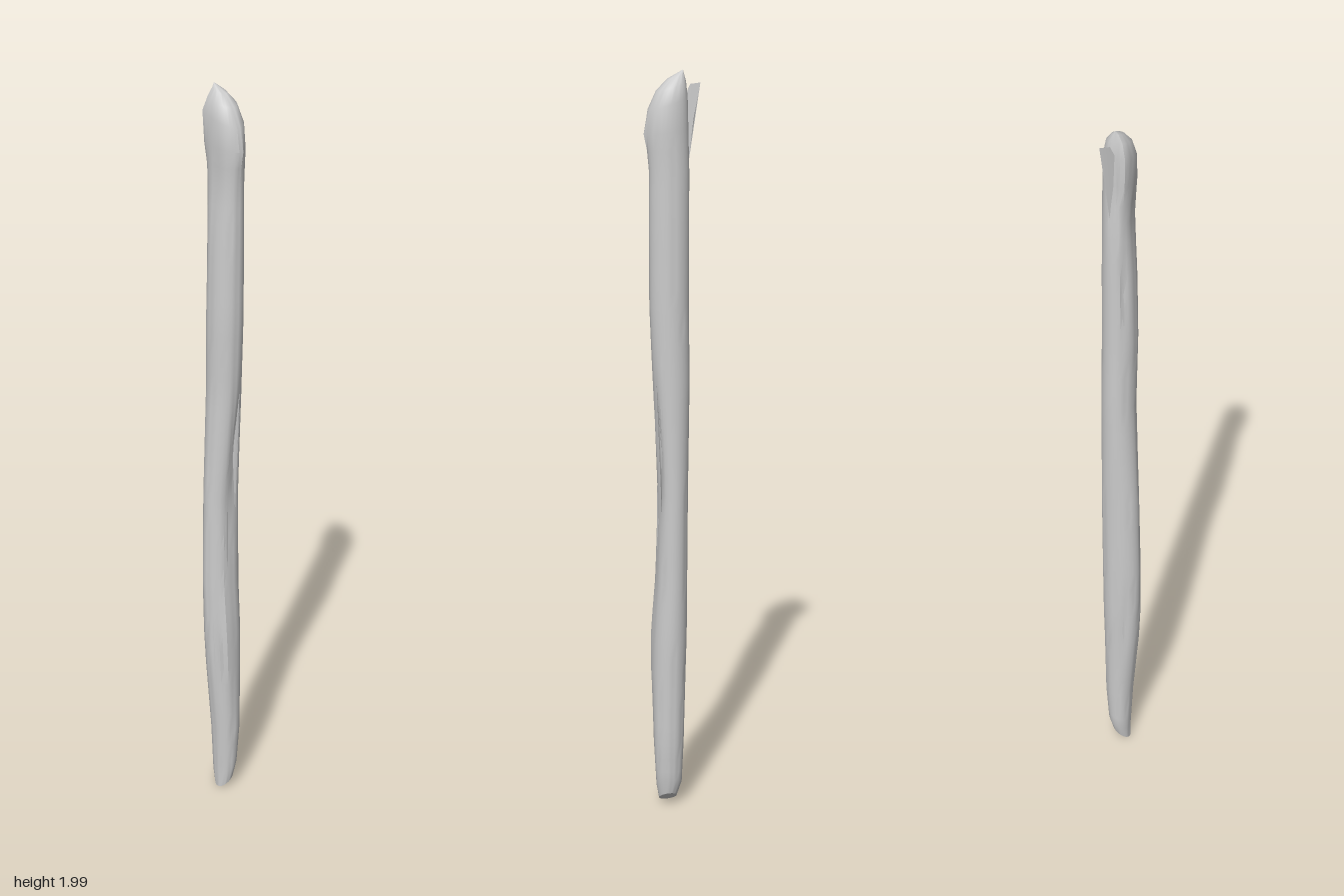
import * as THREE from 'three';
import { toCreasedNormals } from 'three/addons/utils/BufferGeometryUtils.js';

const material = new THREE.MeshStandardMaterial({ color: 0xcccccc, side: THREE.DoubleSide });

// Cross-section limits up the stick: height, left x, right x, back z, front z
const PROFILE = [
  [0.03, -0.018, 0.03, -0.028, 0.024],
  [0.07, -0.031, 0.038, -0.037, 0.024],
  [0.2, -0.036, 0.045, -0.045, 0.031],
  [0.4, -0.042, 0.048, -0.048, 0.048],
  [0.5, -0.045, 0.046, -0.05, 0.053],
  [0.65, -0.046, 0.037, -0.05, 0.055],
  [0.9, -0.047, 0.033, -0.051, 0.05],
  [1.2, -0.05, 0.046, -0.051, 0.038],
  [1.4, -0.048, 0.054, -0.05, 0.04],
  [1.6, -0.048, 0.055, -0.049, 0.036],
  [1.75, -0.048, 0.055, -0.047, 0.031],
  [1.85, -0.046, 0.061, -0.047, 0.035],
  [1.92, -0.044, 0.056, -0.045, 0.034],
  [1.96, -0.04, 0.036, -0.035, 0.025],
  [1.98, -0.035, 0.008, -0.018, 0.01],
];
const SIDES = 28;

// Furrows and ridges: angle (0 = +x, 90 = front), height, width, length, depth
const RELIEF = [
  [-18, 1.0, 18, 0.16, -0.3],
  [8, 0.85, 9, 0.2, -0.15],
  [55, 0.42, 10, 0.13, -0.18],
  [25, 0.5, 14, 0.18, 0.12],
  [140, 1.55, 9, 0.12, -0.12],
  [150, 0.48, 9, 0.12, -0.12],
  [138, 1.9, 13, 0.06, 0.34],
  [5, 1.86, 13, 0.05, 0.16],
  [85, 1.78, 25, 0.13, -0.15],
  [172, 1.85, 11, 0.1, -0.2],
];

function limitsAt(y) {
  let i = 0;
  while (i < PROFILE.length - 2 && y > PROFILE[i + 1][0]) i++;
  const [a, b] = [PROFILE[i], PROFILE[i + 1]];
  const t = THREE.MathUtils.clamp((y - a[0]) / (b[0] - a[0]), 0, 1);
  return a.map((v, k) => THREE.MathUtils.lerp(v, b[k], t));
}

function surfacePoint(y, degrees) {
  const [, xl, xr, zb, zf] = limitsAt(y);
  let r = 1;
  for (const [angle, height, width, length, depth] of RELIEF) {
    const da = ((degrees - angle + 540) % 360) - 180;
    r += depth * Math.exp(-((da / width) ** 2) - ((y - height) / length) ** 2);
  }
  const a = THREE.MathUtils.degToRad(degrees);
  const x = (xl + xr) / 2 + r * Math.cos(a) * (xr - xl) / 2;
  const z = (zb + zf) / 2 + r * Math.sin(a) * (zf - zb) / 2;
  // Slanted break at the foot and a slope down to the left at the top
  const foot = 1 - THREE.MathUtils.smoothstep(y, 0.03, 0.2);
  const head = THREE.MathUtils.smoothstep(y, 1.8, 1.92);
  return new THREE.Vector3(x, y - foot * 0.75 * z - head * 0.3 * x, z);
}

function buildStick() {
  const heights = PROFILE.map((p) => p[0]);
  for (let y = 0.1; y < 1.9; y += 0.05) heights.push(y);
  heights.sort((a, b) => a - b);
  const pos = [], index = [];
  for (const y of heights) {
    for (let s = 0; s < SIDES; s++) pos.push(...surfacePoint(y, (s * 360) / SIDES).toArray());
  }
  for (let r = 0; r < heights.length - 1; r++) {
    for (let s = 0; s < SIDES; s++) {
      const a = r * SIDES + s, b = r * SIDES + ((s + 1) % SIDES);
      index.push(a, a + SIDES, b, b, a + SIDES, b + SIDES);
    }
  }
  // Pointed closures at foot and head
  const foot = pos.length / 3, head = foot + 1, last = (heights.length - 1) * SIDES;
  pos.push(0.012, 0.02, 0.008, -0.033, 2, -0.002);
  for (let s = 0; s < SIDES; s++) {
    const n = (s + 1) % SIDES;
    index.push(foot, s, n, head, last + n, last + s);
  }
  const g = new THREE.BufferGeometry();
  g.setAttribute('position', new THREE.Float32BufferAttribute(pos, 3));
  g.setIndex(index);
  return toCreasedNormals(g, 0.6);
}

// Thin pointed bark flake, a fan of triangles
function flake(points) {
  const g = new THREE.BufferGeometry();
  g.setAttribute('position', new THREE.Float32BufferAttribute(points.flat(), 3));
  const index = [];
  for (let i = 1; i < points.length - 1; i++) index.push(0, i, i + 1);
  g.setIndex(index);
  g.computeVertexNormals();
  return g;
}

// Narrow splinter lying along the bark
function splinter(degrees, y0, y1) {
  const mid = (y0 + y1) / 2;
  const tip = surfacePoint(y1, degrees + 4), base = surfacePoint(y0, degrees);
  const side = surfacePoint(mid, degrees + 10);
  const lifted = surfacePoint(mid, degrees - 3);
  lifted.x *= 1.06;
  lifted.z *= 1.06;
  return flake([base, side, tip, lifted].map((p) => p.toArray()));
}

export function createModel() {
  const group = new THREE.Group();
  const add = (name, geometry) => {
    const mesh = new THREE.Mesh(geometry, material);
    mesh.name = name;
    group.add(mesh);
  };
  add('stick', buildStick());
  add('topFlake', flake([
    [-0.043, 1.75, -0.012], [-0.036, 1.93, 0], [-0.05, 1.965, -0.01],
    [-0.072, 1.97, -0.028], [-0.056, 1.88, -0.022],
  ]));
  const splinters = [[-28, 0.85, 1.2], [12, 0.68, 0.95], [62, 0.32, 0.54], [142, 1.45, 1.58], [150, 0.38, 0.52]];
  splinters.forEach(([a, y0, y1], i) => add(`splinter${i + 1}`, splinter(a, y0, y1)));
  return group;
}
